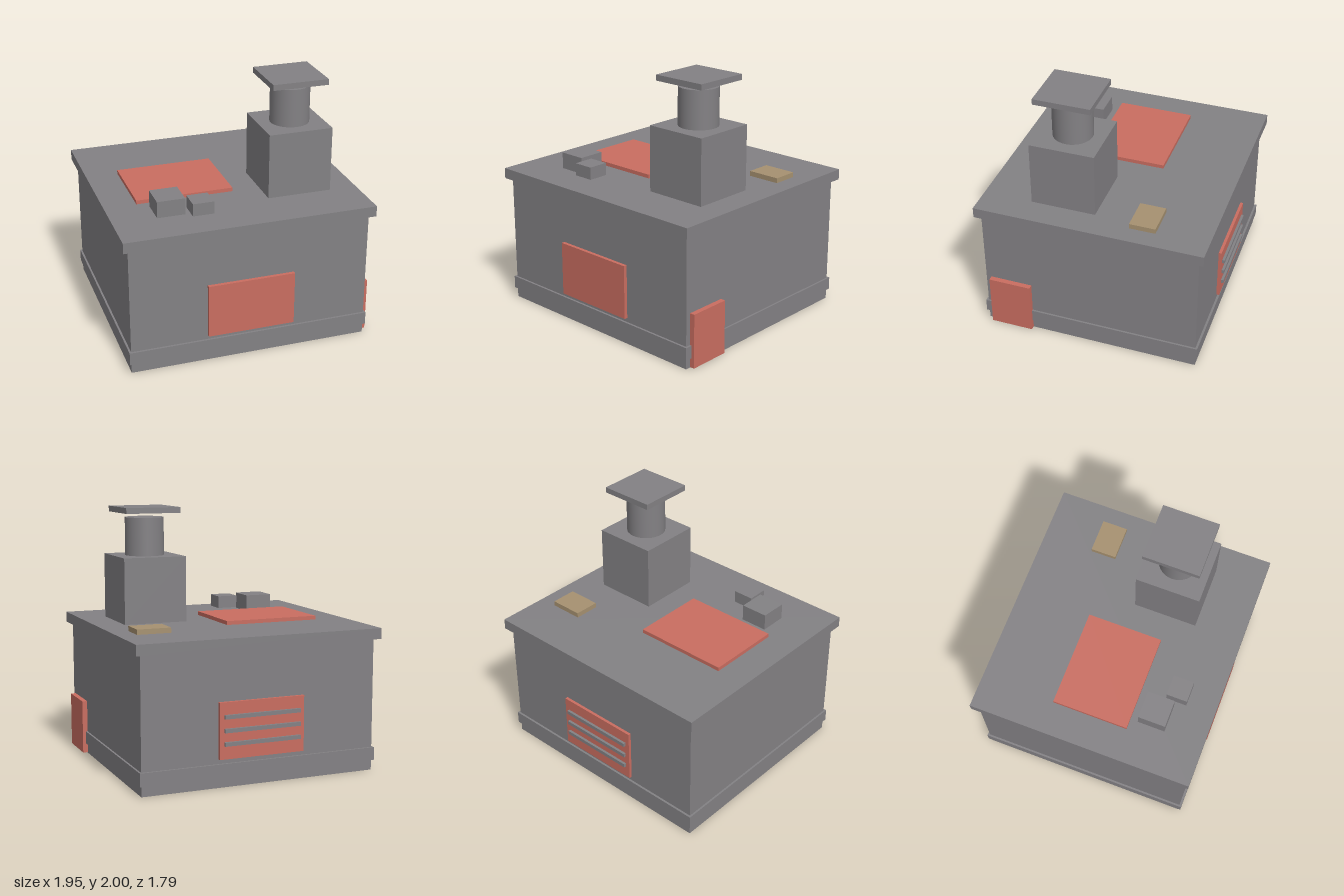
import * as THREE from 'three';

const mat = (name, color) => {
  const m = new THREE.MeshStandardMaterial({ color });
  m.name = name;
  return m;
};

export function createModel() {
  const grey = mat('concrete grey', 0x838184);
  const red = mat('faded red', 0xc96d60);
  const tan = mat('tan', 0xa69170);
  const model = new THREE.Group();
  model.name = 'utilityBuilding';

  // Box given by its extents along each axis
  const box = (name, material, [x0, x1], [y0, y1], [z0, z1], parent = model) => {
    const mesh = new THREE.Mesh(new THREE.BoxGeometry(x1 - x0, y1 - y0, z1 - z0), material);
    mesh.position.set((x0 + x1) / 2, (y0 + y1) / 2, (z0 + z1) / 2);
    mesh.name = name;
    parent.add(mesh);
    return mesh;
  };

  // Walls, base band and roof slab
  box('walls', grey, [-0.935, 0.935], [0, 1.03], [-0.85, 0.85]);
  box('baseBand', grey, [-0.95, 0.95], [0.08, 0.18], [-0.867, 0.867]);
  box('roofSlab', grey, [-0.977, 0.977], [1.025, 1.108], [-0.893, 0.893]);

  // Wall panels and side door
  box('frontPanel', red, [-0.34, 0.34], [0.215, 0.64], [0.85, 0.878]);
  box('sideDoor', red, [0.93, 0.975], [0.005, 0.43], [0.475, 0.81]);
  const vent = new THREE.Group();
  vent.name = 'backVent';
  model.add(vent);
  box('ventPanel', red, [-0.34, 0.34], [0.215, 0.64], [-0.873, -0.85], vent);
  for (const y of [0.33, 0.43, 0.532]) {
    box('ventSlat', grey, [-0.305, 0.305], [y - 0.015, y + 0.015], [-0.893, -0.87], vent);
  }

  // Roof fittings
  box('roofPanel', red, [-0.725, 0.037], [1.1, 1.138], [-0.3, 0.3]);
  box('roofHatch', tan, [0.565, 0.83], [1.1, 1.147], [-0.487, -0.285]);
  box('largeRoofBox', grey, [-0.64, -0.423], [1.108, 1.238], [0.36, 0.577]);
  box('smallRoofBox', grey, [-0.392, -0.228], [1.125, 1.223], [0.5, 0.664]);

  // Chimney: block, round flue and square cap
  const chimney = new THREE.Group();
  chimney.name = 'chimney';
  model.add(chimney);
  box('chimneyBlock', grey, [0.255, 0.76], [1.108, 1.62], [0.003, 0.508], chimney);
  const flue = new THREE.Mesh(new THREE.CylinderGeometry(0.153, 0.153, 0.3, 32), grey);
  flue.position.set(0.508, 1.768, 0.256);
  flue.name = 'flue';
  chimney.add(flue);
  box('chimneyCap', grey, [0.288, 0.728], [1.955, 2], [0.036, 0.476], chimney);

  return model;
}
